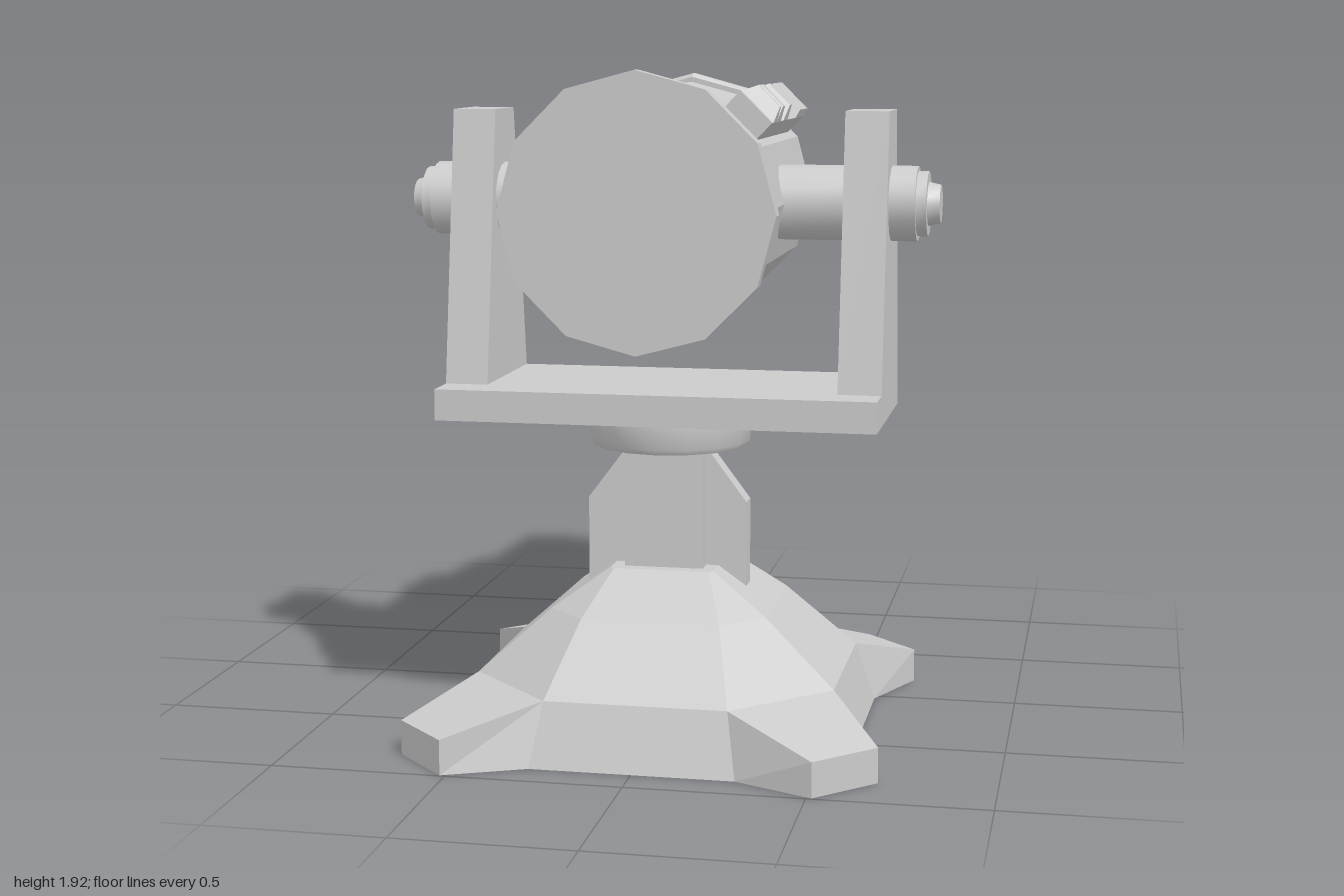
import * as THREE from 'three';
import { toCreasedNormals } from 'three/addons/utils/BufferGeometryUtils.js';

const flat = new THREE.MeshStandardMaterial({ color: 0xcccccc, flatShading: true });
const smooth = new THREE.MeshStandardMaterial({ color: 0xcccccc });
const shell = new THREE.MeshStandardMaterial({ color: 0xcccccc, flatShading: true, side: THREE.DoubleSide });

const AXIS_Y = 1.535, STAND_Z = 0.32, PIVOT_Z = 0.265;

function add(parent, name, geometry, material = flat) {
  const mesh = new THREE.Mesh(geometry, material);
  mesh.name = name;
  parent.add(mesh);
  return mesh;
}

// box given by its minimum and maximum corners
function box(x0, x1, y0, y1, z0, z1) {
  return new THREE.BoxGeometry(x1 - x0, y1 - y0, z1 - z0)
    .translate((x0 + x1) / 2, (y0 + y1) / 2, (z0 + z1) / 2);
}

function extrude(points, depth, options = {}) {
  const shape = new THREE.Shape(points.map(p => new THREE.Vector2(...p)));
  return new THREE.ExtrudeGeometry(shape, { depth, bevelEnabled: false, ...options });
}

function lathe(points, sides) {
  return toCreasedNormals(
    new THREE.LatheGeometry(points.map(p => new THREE.Vector2(...p)), sides), 0.7);
}

// twelve-sided drum along z, from z0 (front) back to z1
function drum(r0, r1, z0, z1) {
  return new THREE.CylinderGeometry(r0, r1, z0 - z1, 12)
    .rotateX(Math.PI / 2).translate(0, AXIS_Y, (z0 + z1) / 2);
}

// hollow base: one quarter is described and turned four times
function baseGeometry() {
  const out = [];
  const face = (...pts) => {
    for (let k = 0; k < 4; k++) {
      const turned = pts.map(([x, y, z]) =>
        [[x, y, z], [z, y, -x], [-x, y, -z], [-z, y, x]][k]);
      for (let i = 1; i < turned.length - 1; i++)
        out.push(...turned[0], ...turned[i], ...turned[i + 1]);
    }
  };
  // levels: half width of side, distance from centre, height
  const levels = [[0.29, 0.575, 0], [0.26, 0.52, 0.18], [0.2, 0.315, 0.365], [0.14, 0.152, 0.48]];
  for (let i = 0; i < 3; i++) {
    const [a, b, y] = levels[i], [c, d, h] = levels[i + 1];
    face([-a, y, b], [a, y, b], [c, h, d], [-c, h, d]);
    if (i > 0) face([a, y, b], [b, y, a], [d, h, c], [c, h, d]);
  }
  const [a, b, y] = levels[3];
  face([-a, y, b], [a, y, b], [0, y, 0]);
  face([a, y, b], [b, y, a], [0, y, 0]);
  // foot: top, end and two side walls
  const n = 0.515, f = 0.675, e = 0.1;
  face([n, e, f], [f, e, n], [0.52, 0.18, 0.26], [0.26, 0.18, 0.52]);
  face([n, 0, f], [f, 0, n], [f, e, n], [n, e, f]);
  face([0.29, 0, 0.575], [n, 0, f], [n, e, f], [0.26, 0.18, 0.52]);
  face([f, 0, n], [0.575, 0, 0.29], [0.52, 0.18, 0.26], [f, e, n]);
  const g = new THREE.BufferGeometry();
  g.setAttribute('position', new THREE.Float32BufferAttribute(out, 3));
  g.computeVertexNormals();
  return g.translate(0, 0, STAND_Z);
}

// block whose top is drawn in on all sides
function taperedBlock(width, y0, y1, z, length, taper) {
  const g = new THREE.BoxGeometry(width, y1 - y0, length);
  const p = g.attributes.position;
  for (let i = 0; i < p.count; i++) {
    if (p.getY(i) > 0) {
      p.setX(i, p.getX(i) - Math.sign(p.getX(i)) * taper);
      p.setZ(i, p.getZ(i) - Math.sign(p.getZ(i)) * taper);
    }
  }
  return g.translate(0, (y0 + y1) / 2, z);
}

function buildStand() {
  const stand = new THREE.Group();
  stand.name = 'stand';
  add(stand, 'base', baseGeometry(), shell);

  // column with chamfered rear corners (plan drawn as x, -z)
  const plan = [[-0.115, -0.435], [0.115, -0.435], [0.115, -0.245],
    [0.07, -0.203], [-0.07, -0.203], [-0.115, -0.245]];
  add(stand, 'column', extrude(plan, 0.4).rotateX(-Math.PI / 2).translate(0, 0.44, 0));

  // side fins and rear fin
  for (const s of [1, -1]) {
    const profile = [[0.1, 0.42], [0.235, 0.42], [0.235, 0.67], [0.115, 0.83], [0.1, 0.83]];
    add(stand, s > 0 ? 'leftFin' : 'rightFin',
      extrude(profile.map(([x, y]) => [s * x, y]), 0.065).translate(0, 0, 0.315));
  }
  add(stand, 'rearFin', box(-0.05, 0.05, 0.4, 0.67, 0.075, 0.21));

  add(stand, 'turntable', lathe([[0, 0.83], [0.225, 0.83], [0.235, 0.845], [0.235, 0.92], [0, 0.92]], 16)
    .translate(0, 0, STAND_Z), smooth);
  return stand;
}

function buildYoke() {
  const yoke = new THREE.Group();
  yoke.name = 'yoke';
  add(yoke, 'yokePlate', box(-0.635, 0.635, 0.92, 1.01, 0.045, 0.6));
  // arms drawn as (-z, y) and extruded along x
  const profile = [[-0.485, 1.01], [-0.045, 1.01], [-0.165, 1.8], [-0.365, 1.8]];
  const axle = [[0, 0.29], [0.108, 0.29], [0.108, 0.71], [0.093, 0.71], [0.093, 0.74],
    [0.063, 0.74], [0.055, 0.775], [0, 0.775]];
  for (const s of [1, -1]) {
    const side = s > 0 ? 'left' : 'right';
    add(yoke, side + 'Arm', extrude(profile, 0.125).rotateY(Math.PI / 2)
      .translate(s > 0 ? 0.51 : -0.635, 0, 0));
    add(yoke, side + 'Axle', lathe(axle, 16).rotateZ(-s * Math.PI / 2)
      .translate(0, AXIS_Y, PIVOT_Z), smooth);
  }
  return yoke;
}

function buildBarrel() {
  const barrel = new THREE.Group();
  barrel.name = 'barrel';
  add(barrel, 'frontFlange', drum(0.385, 0.385, 0.815, 0.765));
  add(barrel, 'body', drum(0.338, 0.338, 0.765, -0.2));
  add(barrel, 'taper', drum(0.283, 0.24, -0.2, -0.535));

  // hollow nozzle
  const nozzle = [[0, -0.56], [0.145, -0.56], [0.135, -1], [0.167, -1], [0.193, -0.535], [0, -0.535]];
  add(barrel, 'nozzle', lathe(nozzle, 12).rotateX(Math.PI / 2).translate(0, AXIS_Y, 0), smooth);

  // bent strap lying over the top facets
  const arc = r => [-60, -30, 0, 30].map(d => {
    const t = THREE.MathUtils.degToRad(d);
    return [r * Math.sin(t), r * Math.cos(t)];
  });
  const strap = [...arc(0.33), ...arc(0.353).reverse()];
  add(barrel, 'strap', extrude(strap, 0.045,
    { bevelEnabled: true, bevelSize: 0.01, bevelThickness: 0.01, bevelSegments: 1 })
    .translate(0, AXIS_Y, -0.06));

  // rail on the upper left facet
  const rail = new THREE.Group();
  rail.name = 'rail';
  rail.position.y = AXIS_Y;
  rail.rotation.z = -Math.PI / 4;
  add(rail, 'railBar', box(-0.063, 0.063, 0.32, 0.395, -0.11, 0.505));
  add(rail, 'rearPad', taperedBlock(0.126, 0.395, 0.42, -0.025, 0.17, 0.008));
  for (const z of [0.26, 0.39, 0.455])
    add(rail, 'railBlock', taperedBlock(0.126, 0.395, 0.437, z, z > 0.4 ? 0.06 : 0.08, 0.02));
  barrel.add(rail);
  return barrel;
}

export function createModel() {
  const model = new THREE.Group();
  model.name = 'mountedScope';
  model.add(buildStand(), buildYoke(), buildBarrel());
  return model;
}
